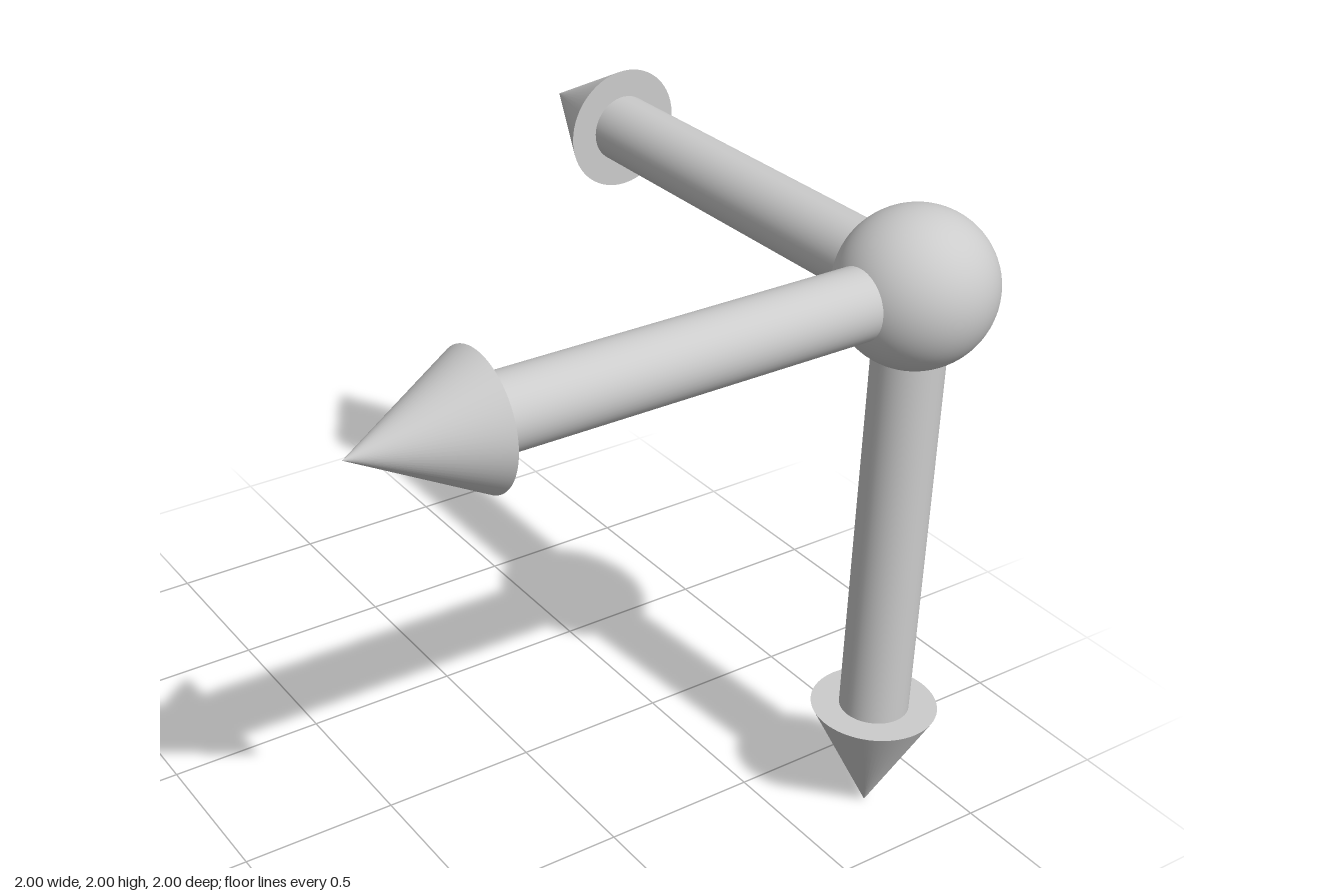
import * as THREE from 'three';

const CENTER = new THREE.Vector3(0.767, 1.77, 0.767);
const BALL_RADIUS = 0.23;
const REACH = 1.767;       // ball centre to arrow tip
const HEAD_LENGTH = 0.37;
const HEAD_RADIUS = 0.191;
const SHAFT_RADIUS = 0.105;

const material = new THREE.MeshStandardMaterial({ color: 0xcccccc });

function addPart(parent, name, geometry) {
  const mesh = new THREE.Mesh(geometry, material);
  mesh.name = name;
  parent.add(mesh);
  return mesh;
}

// An arrow growing from the ball centre along the given direction
function createArrow(name, direction) {
  const arrow = new THREE.Group();
  arrow.name = name;

  const shaftStart = 0.15; // hidden inside the ball
  const shaftLength = REACH - HEAD_LENGTH - shaftStart;
  const shaft = addPart(arrow, 'shaft',
    new THREE.CylinderGeometry(SHAFT_RADIUS, SHAFT_RADIUS, shaftLength, 48));
  shaft.position.y = shaftStart + shaftLength / 2;

  const head = addPart(arrow, 'arrowHead', new THREE.ConeGeometry(HEAD_RADIUS, HEAD_LENGTH, 64));
  head.position.y = REACH - HEAD_LENGTH / 2;

  arrow.quaternion.setFromUnitVectors(new THREE.Vector3(0, 1, 0), direction);
  arrow.position.copy(CENTER);
  return arrow;
}

export function createModel() {
  const model = new THREE.Group();
  model.name = 'axisArrows';

  // Corner ball
  addPart(model, 'cornerBall', new THREE.SphereGeometry(BALL_RADIUS, 64, 40)).position.copy(CENTER);

  // Three perpendicular arrows
  model.add(
    createArrow('rightArrow', new THREE.Vector3(-1, 0, 0)),
    createArrow('downArrow', new THREE.Vector3(0, -1, 0)),
    createArrow('backArrow', new THREE.Vector3(0, 0, -1)),
  );
  return model;
}
